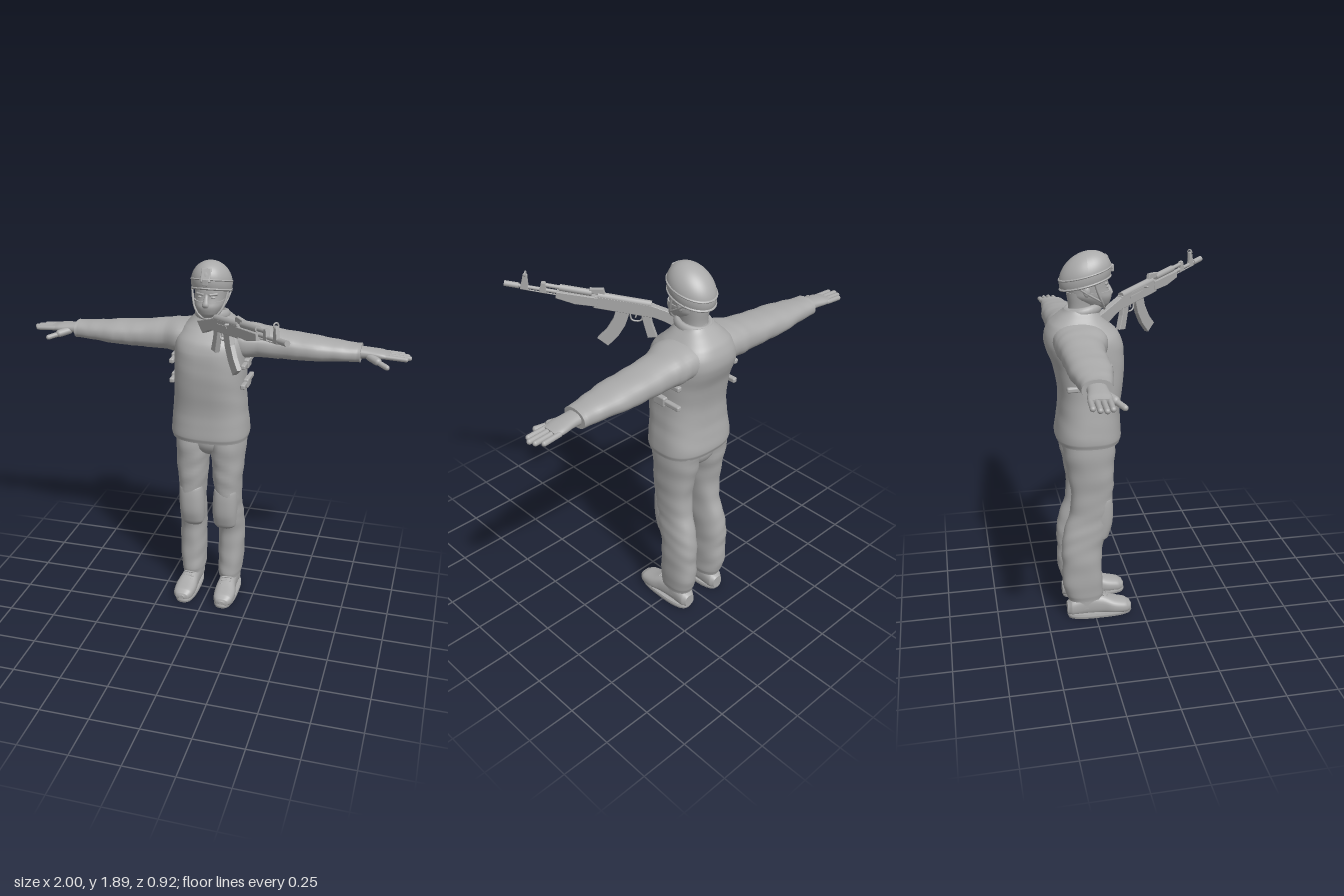
import * as THREE from 'three';
import { RoundedBoxGeometry } from 'three/addons/geometries/RoundedBoxGeometry.js';

const grey = new THREE.MeshStandardMaterial({ color: 0xaaaaaa, side: THREE.DoubleSide });
grey.name = 'plain grey';
const V = (x, y, z) => new THREE.Vector3(x, y, z);

function add(parent, name, geo, pos) {
  const m = new THREE.Mesh(geo, grey);
  m.name = name;
  if (pos) m.position.set(...pos);
  parent.add(m);
  return m;
}

// Skin through rounded sections along an axis; row = [t, centreU, centreV, radiusU, radiusV].
// Axis y uses u=z, v=x; axis x uses u=y, v=z; axis z uses u=x, v=y.
function loft(axis, rows, { n = 2.3, fold = 0, freq = 40, seg = 32, sub = 5 } = {}) {
  const rings = [];
  const cr = (a, b, c, d, t) =>
    b + 0.5 * t * (c - a + t * (2 * a - 5 * b + 4 * c - d + t * (3 * (b - c) + d - a)));
  for (let i = 0; i < rows.length - 1; i++) {
    const p = [rows[Math.max(i - 1, 0)], rows[i], rows[i + 1], rows[Math.min(i + 2, rows.length - 1)]];
    for (let k = 0; k < sub; k++) {
      rings.push(rows[i].map((_, j) => j === 0
        ? p[1][0] + (p[2][0] - p[1][0]) * k / sub
        : cr(p[0][j], p[1][j], p[2][j], p[3][j], k / sub)));
    }
  }
  rings.push(rows[rows.length - 1]);
  const pos = [], idx = [];
  const put = (t, u, v) =>
    pos.push(...(axis === 'y' ? [v, t, u] : axis === 'x' ? [t, u, v] : [u, v, t]));
  const ring = ([t, cu, cv, ru, rv]) => {
    for (let s = 0; s < seg; s++) {
      const a = s / seg * Math.PI * 2, c = Math.cos(a), d = Math.sin(a);
      const f = 1 + fold * Math.sin(t * freq + 2 * Math.sin(a + t * 9)) * Math.sin(2 * a + t * 15);
      put(t, cu + Math.sign(c) * Math.abs(c) ** (2 / n) * ru * f,
        cv + Math.sign(d) * Math.abs(d) ** (2 / n) * rv * f);
    }
  };
  rings.forEach(ring);
  for (let r = 0; r < rings.length - 1; r++) {
    for (let s = 0; s < seg; s++) {
      const a = r * seg + s, b = r * seg + (s + 1) % seg;
      idx.push(a, b, b + seg, a, b + seg, a + seg);
    }
  }
  for (const [r, last] of [[rings[0], false], [rings[rings.length - 1], true]]) {
    const base = pos.length / 3;
    ring(r);
    put(r[0], r[1], r[2]);
    for (let s = 0; s < seg; s++) {
      const a = base + s, b = base + (s + 1) % seg;
      idx.push(...(last ? [a, b, base + seg] : [b, a, base + seg]));
    }
  }
  const g = new THREE.BufferGeometry();
  g.setAttribute('position', new THREE.Float32BufferAttribute(pos, 3));
  g.setIndex(idx);
  g.computeVertexNormals();
  return g;
}

const ball = (rx, ry, rz) => new THREE.SphereGeometry(1, 24, 16).scale(rx, ry, rz);

// Capsule between two points
function rod(a, b, r, flat = 1) {
  const d = b.clone().sub(a);
  const g = new THREE.CapsuleGeometry(r, Math.max(d.length() - 2 * r, 0.001), 5, 12);
  g.applyQuaternion(new THREE.Quaternion().setFromUnitVectors(V(0, 1, 0), d.normalize()));
  g.scale(1, flat, 1);
  const m = a.clone().add(b).multiplyScalar(0.5);
  return g.translate(m.x, m.y, m.z);
}

const tube = (pts, r, n = 20) =>
  new THREE.TubeGeometry(new THREE.CatmullRomCurve3(pts.map(p => V(...p))), n, r, 8);

// Mirrored copy across x = 0
function mirrored(geo) {
  const g = geo.clone();
  g.scale(-1, 1, 1);
  const at = g.index ? g.index : null;
  if (at) at.array.reverse();
  else for (const k of Object.keys(g.attributes)) {
    const { array, itemSize } = g.attributes[k];
    for (let i = 0; i < array.length; i += 3 * itemSize)
      for (let j = 0; j < itemSize; j++)
        [array[i + j], array[i + itemSize + j]] = [array[i + itemSize + j], array[i + j]];
  }
  return g;
}
function pair(parent, name, geo) {
  add(parent, 'left ' + name, geo);
  add(parent, 'right ' + name, mirrored(geo));
}

function buildBody(g) {
  add(g, 'jacket', loft('y', [
    [0.96, -0.255, 0, 0.155, 0.198], [0.985, -0.255, 0, 0.163, 0.204], [1.05, -0.252, 0, 0.158, 0.2],
    [1.12, -0.248, 0, 0.152, 0.192], [1.22, -0.24, 0, 0.157, 0.185], [1.34, -0.245, 0, 0.173, 0.183],
    [1.44, -0.264, 0, 0.188, 0.183], [1.5, -0.275, 0, 0.178, 0.175], [1.55, -0.288, 0, 0.142, 0.145],
    [1.585, -0.285, 0, 0.108, 0.11], [1.62, -0.275, 0, 0.08, 0.08]], { n: 2.6, fold: 0.006, seg: 48 }));
  add(g, 'pelvis', ball(0.13, 0.1, 0.125), [0, 0.945, -0.265]);
  add(g, 'collar', new THREE.TorusGeometry(0.072, 0.018, 10, 32).rotateX(Math.PI / 2 - 0.12).scale(1, 1.5, 1.08),
    [0, 1.61, -0.268]);
  // Side straps with buckles
  for (const y of [1.27, 1.375]) {
    pair(g, 'side strap', new RoundedBoxGeometry(0.026, 0.026, 0.22, 2, 0.008).translate(0.187, y, -0.265));
    pair(g, 'strap buckle', new RoundedBoxGeometry(0.03, 0.05, 0.075, 2, 0.009).translate(0.19, y, -0.25));
  }
  // Sleeves
  pair(g, 'sleeve', loft('x', [
    [0.05, 1.495, -0.3, 0.075, 0.12], [0.16, 1.482, -0.298, 0.084, 0.128], [0.25, 1.475, -0.308, 0.077, 0.108],
    [0.4, 1.465, -0.311, 0.067, 0.1], [0.52, 1.461, -0.31, 0.06, 0.098], [0.65, 1.457, -0.314, 0.049, 0.08],
    [0.73, 1.455, -0.318, 0.044, 0.069], [0.752, 1.455, -0.318, 0.044, 0.067]], { fold: 0.025, freq: 55 }));
  // Hands
  pair(g, 'palm', loft('x', [
    [0.73, 1.457, -0.32, 0.03, 0.045], [0.79, 1.457, -0.322, 0.025, 0.046],
    [0.85, 1.454, -0.326, 0.021, 0.052], [0.893, 1.45, -0.328, 0.015, 0.047]]));
  [[-0.368, 0.965], [-0.342, 0.99], [-0.316, 1.0], [-0.29, 0.985]].forEach(([z, tip]) => {
    pair(g, 'finger', rod(V(0.86, 1.452, z), V(tip, 1.445, z * 1.01), 0.0125));
  });
  pair(g, 'thumb base', rod(V(0.78, 1.45, -0.3), V(0.855, 1.43, -0.25), 0.02));
  pair(g, 'thumb', rod(V(0.83, 1.435, -0.265), V(0.9, 1.415, -0.222), 0.0135));
}

function buildLegs(g) {
  pair(g, 'trouser leg', loft('y', [
    [0.1, -0.298, 0.105, 0.088, 0.058], [0.13, -0.303, 0.106, 0.097, 0.064], [0.2, -0.31, 0.108, 0.103, 0.067],
    [0.3, -0.31, 0.109, 0.102, 0.069], [0.38, -0.31, 0.109, 0.103, 0.068], [0.45, -0.298, 0.106, 0.11, 0.068],
    [0.52, -0.275, 0.102, 0.112, 0.067], [0.6, -0.258, 0.099, 0.106, 0.068], [0.7, -0.251, 0.097, 0.107, 0.075],
    [0.8, -0.254, 0.096, 0.115, 0.083], [0.9, -0.262, 0.094, 0.128, 0.091], [1, -0.265, 0.09, 0.13, 0.098]],
    { fold: 0.03, freq: 48 }));
  pair(g, 'knee pad', loft('y', [
    [0.425, -0.225, 0.092, 0.03, 0.05], [0.45, -0.22, 0.092, 0.05, 0.062], [0.52, -0.212, 0.092, 0.063, 0.067],
    [0.6, -0.208, 0.094, 0.063, 0.067], [0.66, -0.205, 0.096, 0.055, 0.062], [0.68, -0.205, 0.096, 0.04, 0.05]]));
  // Boots
  pair(g, 'boot', loft('z', [
    [-0.393, 0.106, 0.045, 0.03, 0.033], [-0.37, 0.106, 0.052, 0.044, 0.047], [-0.29, 0.106, 0.062, 0.045, 0.06],
    [-0.21, 0.108, 0.058, 0.05, 0.055], [-0.15, 0.112, 0.046, 0.058, 0.043], [-0.09, 0.114, 0.038, 0.052, 0.034],
    [-0.064, 0.114, 0.034, 0.035, 0.022], [-0.057, 0.114, 0.033, 0.015, 0.01]], { n: 2.5 }));
  pair(g, 'boot sole', loft('y', [
    [0, -0.224, 0.11, 0.166, 0.057], [0.012, -0.224, 0.11, 0.17, 0.06], [0.024, -0.224, 0.11, 0.168, 0.058]],
    { n: 2.7 }));
  pair(g, 'boot shaft', loft('y', [
    [0.05, -0.29, 0.106, 0.08, 0.045], [0.1, -0.285, 0.106, 0.083, 0.045], [0.145, -0.288, 0.106, 0.075, 0.047]]));
  for (let i = 0; i < 4; i++) {
    const z = -0.165 - i * 0.018, y = 0.089 + i * 0.012;
    pair(g, 'boot lace', rod(V(0.08, y, z), V(0.137, y, z - 0.006), 0.005));
  }
}

function buildHead(g) {
  add(g, 'neck', loft('y', [[1.55, -0.275, 0, 0.075, 0.065], [1.62, -0.268, 0, 0.066, 0.058],
    [1.7, -0.268, 0, 0.075, 0.065]]));
  add(g, 'head', loft('y', [
    [1.622, -0.205, 0, 0.045, 0.03], [1.64, -0.215, 0, 0.07, 0.05], [1.68, -0.232, 0, 0.098, 0.07],
    [1.72, -0.24, 0, 0.099, 0.077], [1.76, -0.245, 0, 0.102, 0.08], [1.81, -0.25, 0, 0.098, 0.08]]));
  // Face covering over nose and mouth
  add(g, 'face mask', loft('y', [
    [1.618, -0.2, 0, 0.047, 0.034], [1.64, -0.209, 0, 0.073, 0.055], [1.675, -0.225, 0, 0.1, 0.074],
    [1.704, -0.231, 0, 0.1, 0.079]]));
  add(g, 'nose', loft('y', [[1.672, -0.14, 0, 0.014, 0.02], [1.69, -0.135, 0, 0.018, 0.018],
    [1.715, -0.141, 0, 0.014, 0.012], [1.74, -0.15, 0, 0.009, 0.009]], { seg: 16 }));
  pair(g, 'eye', ball(0.013, 0.007, 0.009).translate(0.032, 1.724, -0.152));
  pair(g, 'brow', rod(V(0.012, 1.738, -0.144), V(0.055, 1.741, -0.162), 0.007));
  pair(g, 'ear', ball(0.01, 0.025, 0.017).translate(0.079, 1.71, -0.255));

  // Helmet shell, lower at the back
  const tilt = geo => {
    const p = geo.attributes.position;
    for (let i = 0; i < p.count; i++) p.setY(i, p.getY(i) + p.getZ(i) * 0.25);
    geo.computeVertexNormals();
    return geo;
  };
  const at = [0, 1.775, -0.25];
  add(g, 'helmet', tilt(new THREE.SphereGeometry(1, 40, 20, 0, Math.PI * 2, 0, 1.9).scale(0.102, 0.112, 0.126)), at);
  const hoop = (y, r, s) => tilt(new THREE.TorusGeometry(1, r, 8, 48).rotateX(Math.PI / 2)
    .scale(0.102 * s, 0.1, 0.126 * s).translate(0, y, 0));
  add(g, 'helmet rim', hoop(-0.034, 0.06, 0.95), at);
  add(g, 'helmet band', hoop(0.012, 0.05, 0.985), at);
  add(g, 'helmet mount', new RoundedBoxGeometry(0.05, 0.07, 0.018, 2, 0.005).rotateX(-0.42), [0, 1.835, -0.139]);
  add(g, 'mount clip', new RoundedBoxGeometry(0.03, 0.035, 0.018, 2, 0.005), [0, 1.806, -0.121]);
  pair(g, 'chin strap', tube([[0.091, 1.745, -0.215], [0.083, 1.7, -0.2], [0.066, 1.655, -0.18],
    [0.03, 1.618, -0.165], [0, 1.612, -0.16]], 0.006));
  pair(g, 'rear strap', tube([[0.09, 1.735, -0.3], [0.084, 1.7, -0.25], [0.07, 1.66, -0.185]], 0.005));
}

// Rifle, built with its barrel along local +x
function buildRifle(g) {
  const plate = (pts, w) => new THREE.ExtrudeGeometry(new THREE.Shape(pts.map(p => new THREE.Vector2(...p))),
    { depth: w - 0.008, bevelThickness: 0.004, bevelSize: 0.003, bevelSegments: 2 }).translate(0, 0, 0.004 - w / 2);
  const cyl = (x0, x1, y, r) => new THREE.CylinderGeometry(r, r, x1 - x0, 14).rotateZ(-Math.PI / 2)
    .translate((x0 + x1) / 2, y, 0);
  add(g, 'stock', plate([[0, -0.03], [0.1, -0.015], [0.25, 0.015], [0.25, -0.035], [0.18, -0.05], [0.01, -0.11]], 0.034));
  add(g, 'receiver', plate([[0.24, -0.04], [0.51, -0.04], [0.51, 0.015], [0.24, 0.015]], 0.036));
  add(g, 'receiver cover', cyl(0.25, 0.5, 0.017, 0.018));
  add(g, 'bolt handle', rod(V(0.42, 0.01, 0), V(0.42, 0.012, 0.04), 0.006));
  add(g, 'selector lever', new THREE.BoxGeometry(0.1, 0.01, 0.004), [0.35, -0.005, 0.02]);
  add(g, 'pistol grip', plate([[0.25, -0.035], [0.29, -0.035], [0.27, -0.085], [0.243, -0.15], [0.205, -0.14],
    [0.235, -0.08]], 0.028));
  add(g, 'trigger guard', tube([[0.28, -0.04, 0], [0.29, -0.075, 0], [0.33, -0.078, 0], [0.345, -0.04, 0]], 0.004));
  add(g, 'trigger', rod(V(0.31, -0.035, 0), V(0.316, -0.066, 0), 0.004));
  add(g, 'magazine', plate([[0.345, -0.03], [0.405, -0.03], [0.415, -0.09], [0.44, -0.15], [0.475, -0.2],
    [0.425, -0.228], [0.385, -0.17], [0.36, -0.11]], 0.026));
  add(g, 'lower handguard', plate([[0.5, -0.03], [0.6, -0.036], [0.69, -0.022], [0.69, 0.006], [0.5, 0.01]], 0.042));
  add(g, 'upper handguard', cyl(0.53, 0.68, 0.025, 0.016));
  add(g, 'gas tube', cyl(0.66, 0.76, 0.025, 0.01));
  add(g, 'gas block', plate([[0.74, -0.012], [0.77, -0.012], [0.765, 0.036], [0.75, 0.036]], 0.022));
  add(g, 'barrel', cyl(0.5, 0.93, 0, 0.009));
  add(g, 'muzzle brake', cyl(0.87, 0.938, 0, 0.014));
  add(g, 'cleaning rod', cyl(0.68, 0.86, -0.015, 0.003));
  add(g, 'rear sight', plate([[0.47, 0.03], [0.54, 0.025], [0.54, 0.045], [0.48, 0.055]], 0.02));
  add(g, 'front sight', plate([[0.825, -0.012], [0.86, -0.012], [0.852, 0.06], [0.838, 0.06]], 0.018));
  add(g, 'front sight ring', new THREE.TorusGeometry(0.012, 0.004, 8, 16).rotateY(Math.PI / 2), [0.845, 0.064, 0]);

  const from = V(-0.09, 1.6, -0.25), x = V(0.515, 1.725, 0.45).sub(from).normalize();
  const z = x.clone().cross(V(0, 1, 0)).normalize(), y = z.clone().cross(x);
  g.quaternion.setFromRotationMatrix(new THREE.Matrix4().makeBasis(x, y, z));
  g.position.copy(from);
}

export function createModel() {
  const model = new THREE.Group();
  model.name = 'soldier';
  for (const [name, build] of [['body', buildBody], ['legs', buildLegs], ['head', buildHead], ['rifle', buildRifle]]) {
    const part = new THREE.Group();
    part.name = name;
    build(part);
    model.add(part);
  }
  return model;
}
